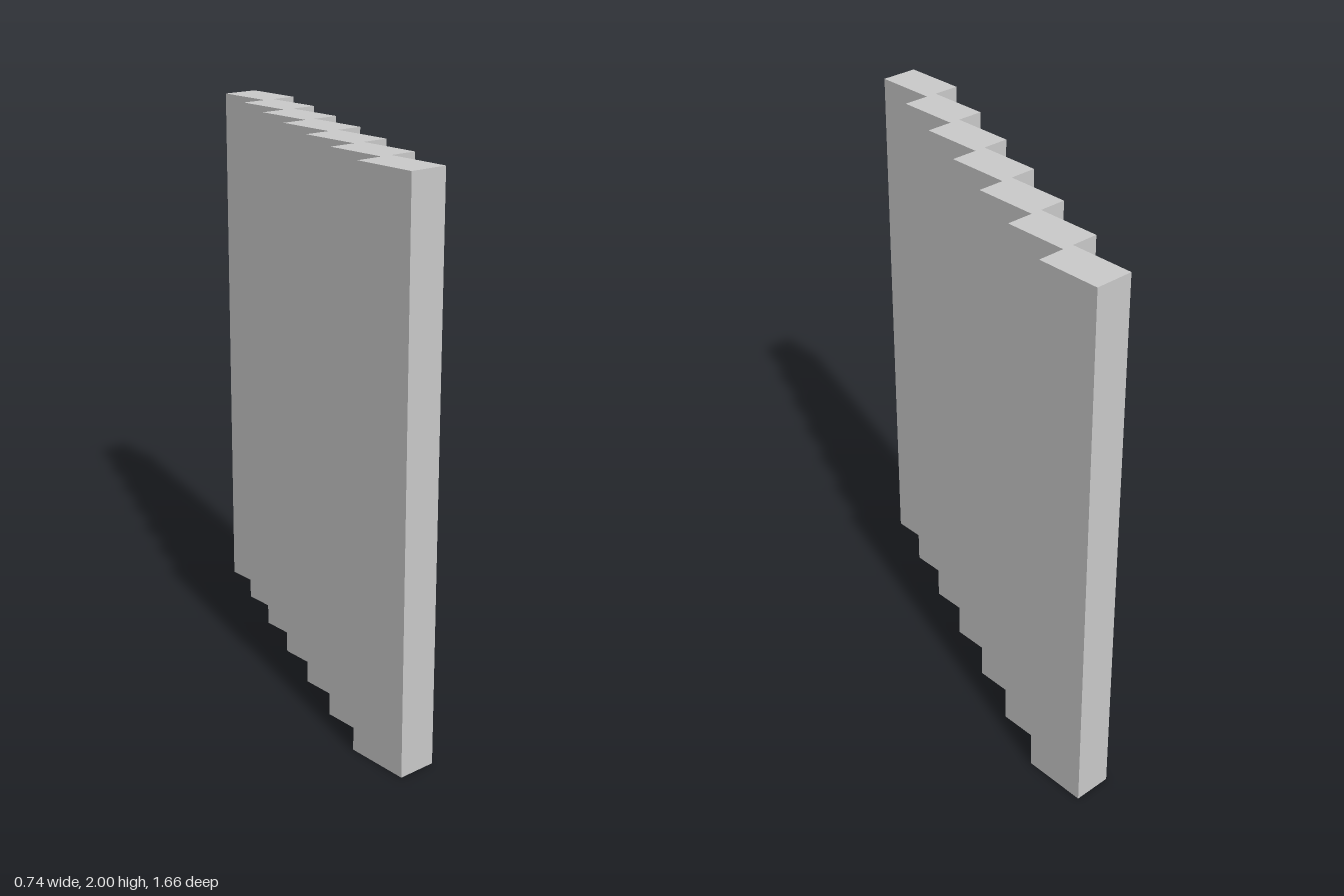
import * as THREE from 'three';

const COUNT = 7;
const WIDTH = 0.14, HEIGHT = 2, DEPTH = 1.66 / COUNT;
const STEP_X = 0.0993;

// Hollow column: four walls and a top cap, open underneath
function openBottomBox(w, h, d) {
  const geometry = new THREE.BoxGeometry(w, h, d);
  const index = Array.from(geometry.index.array);
  index.splice(18, 6); // bottom face
  geometry.setIndex(index);
  geometry.clearGroups();
  return geometry.translate(0, h / 2, 0);
}

export function createModel() {
  const model = new THREE.Group();
  model.name = 'steppedWall';
  const material = new THREE.MeshStandardMaterial({ color: 0xcccccc, side: THREE.DoubleSide });
  const geometry = openBottomBox(WIDTH, HEIGHT, DEPTH);

  // Columns stepping diagonally from front right to back left
  for (let i = 0; i < COUNT; i++) {
    const k = i - (COUNT - 1) / 2;
    const column = new THREE.Mesh(geometry, material);
    column.name = `column${i + 1}`;
    column.position.set(k * STEP_X, 0, -k * DEPTH);
    model.add(column);
  }
  return model;
}
